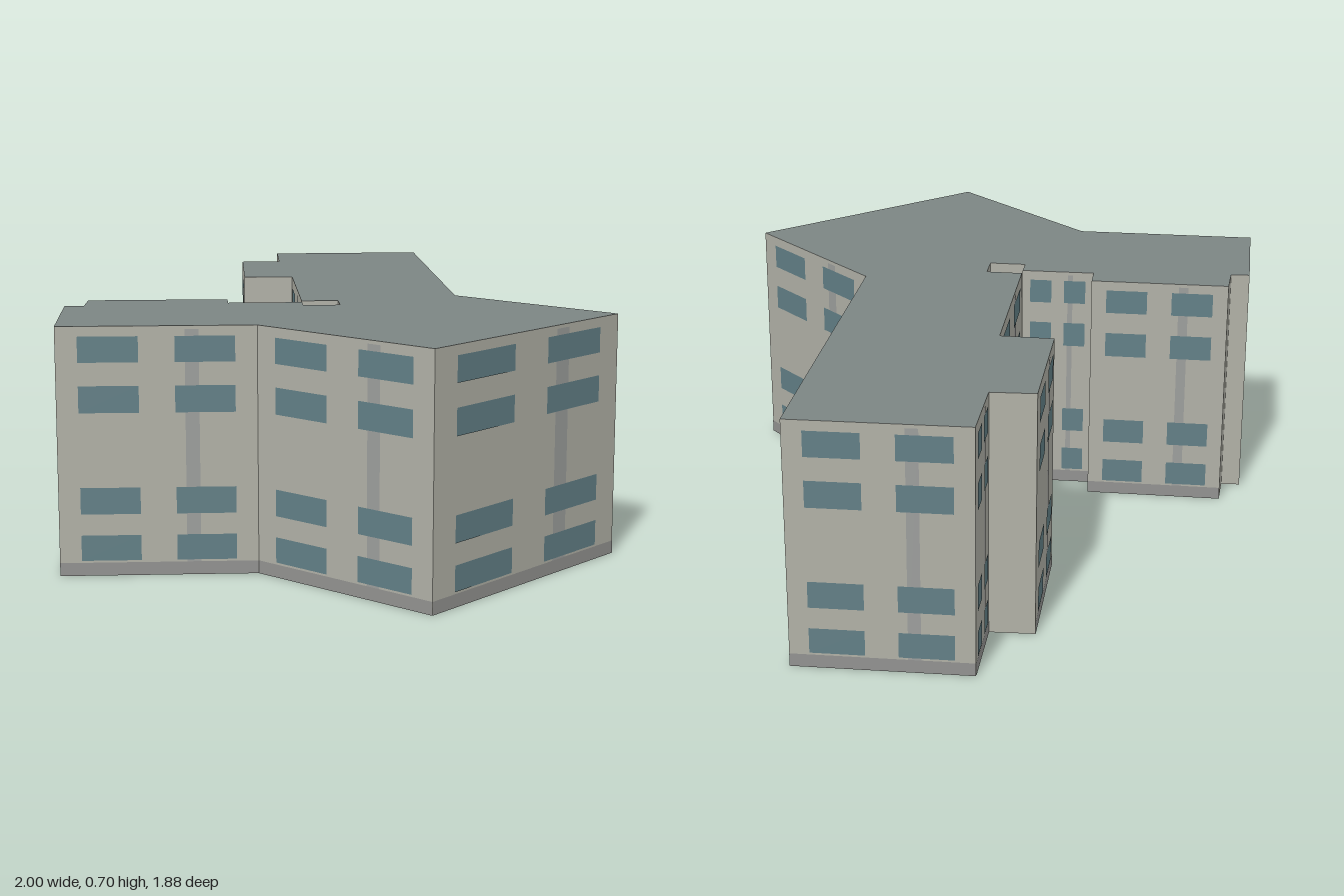
import * as THREE from 'three';

const HEIGHT = 0.7;

// Footprint corners as [x, z], clockwise seen from above
const FOOTPRINT = [
  [-1, -0.025], [-0.745, -0.337], [-0.7, -0.303], [-0.622, -0.39], [-0.302, -0.128],
  [-0.35, -0.068], [-0.18, 0.07], [-0.22, 0.118], [-0.136, 0.187], [-0.08, 0.118],
  [-0.163, 0.048], [0.2, -0.402], [0.083, -0.503], [0.355, -0.834], [0.457, -0.758],
  [0.612, -0.945], [1, -0.64], [0.26, 0.273], [0.318, 0.856], [-0.51, 0.938], [-0.575, 0.326],
];

// Window columns as fractions of the wall length, rows as heights
const COLUMNS = [[0.11, 0.41], [0.59, 0.89]];
const ROWS = [[0.043, 0.115], [0.175, 0.25], [0.46, 0.535], [0.6, 0.672]];

const paint = (color, side = THREE.FrontSide) =>
  new THREE.MeshStandardMaterial({ color, side });

export function createModel() {
  const model = new THREE.Group();
  const wallPaint = paint(0xb0b0a6, THREE.DoubleSide);
  const roofPaint = paint(0x7c8583, THREE.DoubleSide);
  const glassPaint = paint(0x627f86);
  const stripPaint = paint(0x9c9e9c);
  const basePaint = paint(0x929290);

  // Upright panel on a facade whose local x runs left to right
  function panel(name, parent, material, [x0, x1], [y0, y1], out) {
    const mesh = new THREE.Mesh(new THREE.PlaneGeometry(x1 - x0, y1 - y0), material);
    mesh.position.set((x0 + x1) / 2, (y0 + y1) / 2, out);
    mesh.name = name;
    parent.add(mesh);
  }

  // One facade per footprint edge; the short step walls stay plain
  FOOTPRINT.forEach((end, i) => {
    const start = FOOTPRINT[(i + 1) % FOOTPRINT.length];
    const dx = end[0] - start[0], dz = end[1] - start[1];
    const length = Math.hypot(dx, dz);
    const facade = new THREE.Group();
    facade.name = 'facade';
    facade.position.set(start[0], 0, start[1]);
    facade.rotation.y = Math.atan2(-dz, dx);
    model.add(facade);

    panel('wall', facade, wallPaint, [0, length], [0, HEIGHT], 0);
    if (length < 0.2) return;
    panel('baseBand', facade, basePaint, [0, length], [0, 0.037], 0.001);
    panel('stairStrip', facade, stripPaint, [0.64 * length, 0.71 * length], [0.037, 0.69], 0.001);
    for (const [a, b] of COLUMNS) {
      for (const row of ROWS) {
        panel('window', facade, glassPaint, [a * length, b * length], row, 0.002);
      }
    }
  });

  // Flat roof over the whole footprint; the underside of the building is open
  const outline = new THREE.Shape(FOOTPRINT.map(([x, z]) => new THREE.Vector2(x, -z)));
  const roof = new THREE.Mesh(new THREE.ShapeGeometry(outline).rotateX(-Math.PI / 2), roofPaint);
  roof.position.y = HEIGHT;
  roof.name = 'roof';
  model.add(roof);

  return model;
}
